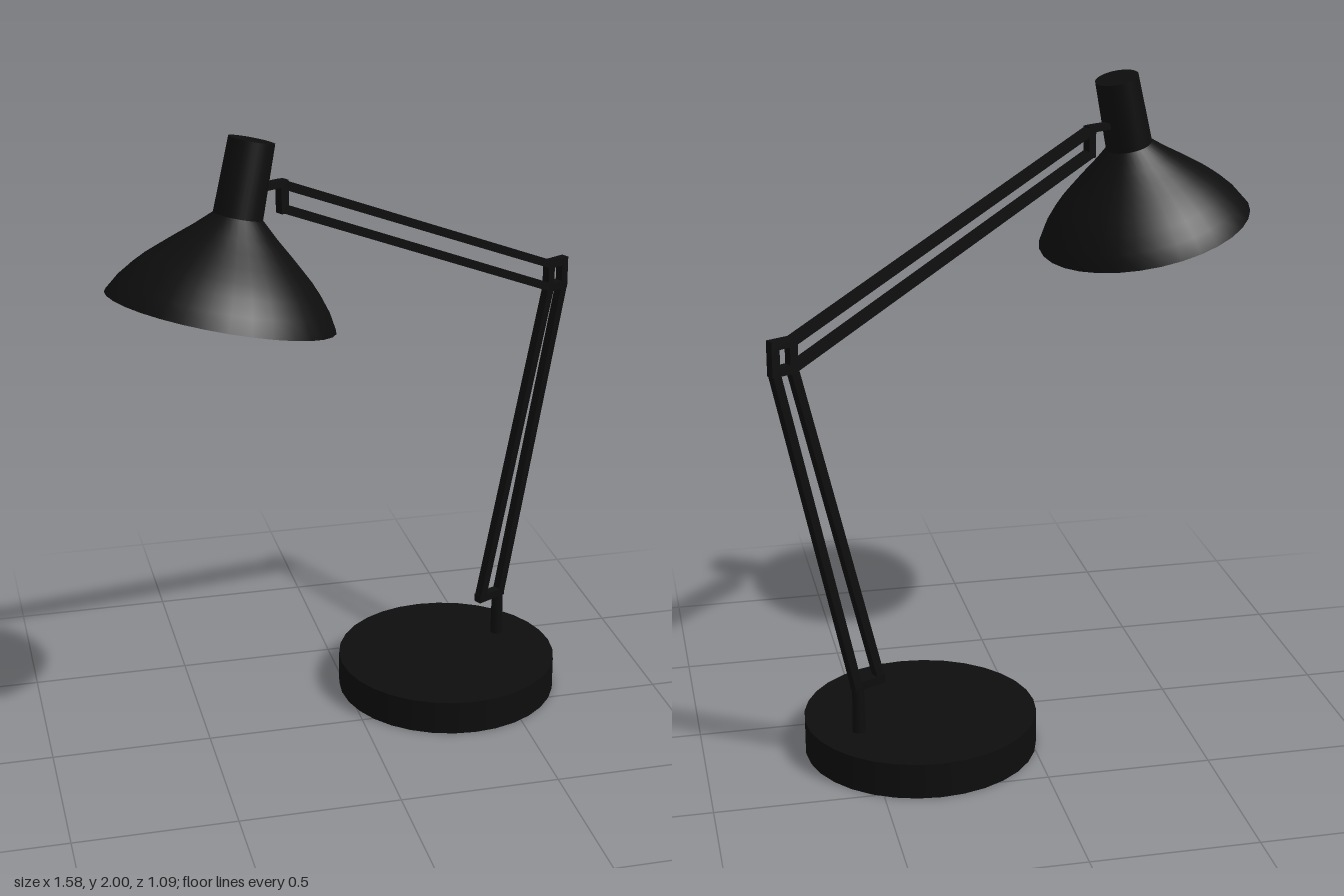
import * as THREE from 'three';

export function createModel() {
  const model = new THREE.Group();
  model.name = 'deskLamp';
  const black = new THREE.MeshStandardMaterial({ name: 'black', color: 0x0d0d0d });
  const white = new THREE.MeshStandardMaterial({ name: 'innerWhite', color: 0xdcdcdc });

  function add(parent, name, geometry, material = black) {
    const mesh = new THREE.Mesh(geometry, material);
    mesh.name = name;
    parent.add(mesh);
    return mesh;
  }

  // Round base
  add(model, 'base', new THREE.CylinderGeometry(0.357, 0.357, 0.11, 32)).position.set(0.335, 0.055, -0.195);

  // Everything above the base lies in one vertical plane, turned about y
  const turn = Math.atan(0.5);
  const stand = new THREE.Group();
  stand.name = 'stand';
  stand.rotation.y = turn;
  stand.position.z = -0.022;
  model.add(stand);
  const along = (x) => x / Math.cos(turn);

  // Square rod between two points of the plane, lengthened by `extra` at both ends
  function rod(name, x1, y1, x2, y2, extra = 0, width = 0.026) {
    const dx = along(x2 - x1), dy = y2 - y1;
    const length = Math.hypot(dx, dy) + 2 * extra;
    const mesh = add(stand, name, new THREE.BoxGeometry(length, width, 0.028));
    mesh.position.set(along((x1 + x2) / 2), (y1 + y2) / 2, 0);
    mesh.rotation.z = Math.atan2(dy, dx);
  }

  // Post and lower arm
  add(stand, 'post', new THREE.CylinderGeometry(0.018, 0.02, 0.16, 16)).position.set(along(0.54), 0.18, 0);
  rod('lowerLink', 0.47, 0.262, 0.545, 0.262, 0.013);
  rod('lowerArmInner', 0.47, 0.262, 0.714, 1.299);
  rod('lowerArmOuter', 0.545, 0.262, 0.768, 1.299);

  // Elbow frame
  for (const y of [1.299, 1.377]) rod('elbowRail', 0.714, y, 0.768, y, 0.013);
  for (const x of [0.714, 0.768]) rod('elbowUpright', x, 1.299, x, 1.377, 0.013);

  // Upper arm with its end link and the connector to the head
  rod('upperArmTop', -0.262, 1.836, 0.714, 1.377);
  rod('upperArmBottom', -0.262, 1.765, 0.714, 1.299);
  rod('upperLink', -0.262, 1.765, -0.262, 1.836, 0.013);
  rod('headConnector', -0.37, 1.84, -0.262, 1.84, 0, 0.02);

  // Tilted lamp head, its origin at the centre of the shade's rim
  const head = new THREE.Group();
  head.name = 'head';
  head.position.set(along(-0.465), 1.505, 0);
  head.rotation.z = -0.25;
  stand.add(head);

  const profile = [
    [0.335, 0], [0.308, 0.047], [0.272, 0.092], [0.242, 0.124],
    [0.205, 0.157], [0.165, 0.192], [0.12, 0.23], [0.072, 0.275],
  ].map(([r, y]) => new THREE.Vector2(r, y));
  const wall = 0.006;
  const outer = [new THREE.Vector2(0.335 - wall, 0), ...profile];
  const inner = [
    ...profile.map((p) => new THREE.Vector2(p.x - wall, p.y)),
    new THREE.Vector2(0, 0.276),
  ].reverse();
  add(head, 'shade', new THREE.LatheGeometry(outer, 32));
  add(head, 'shadeLining', new THREE.LatheGeometry(inner, 32), white);
  add(head, 'socket', new THREE.CylinderGeometry(0.067, 0.072, 0.218, 32)).position.y = 0.384;

  return model;
}
